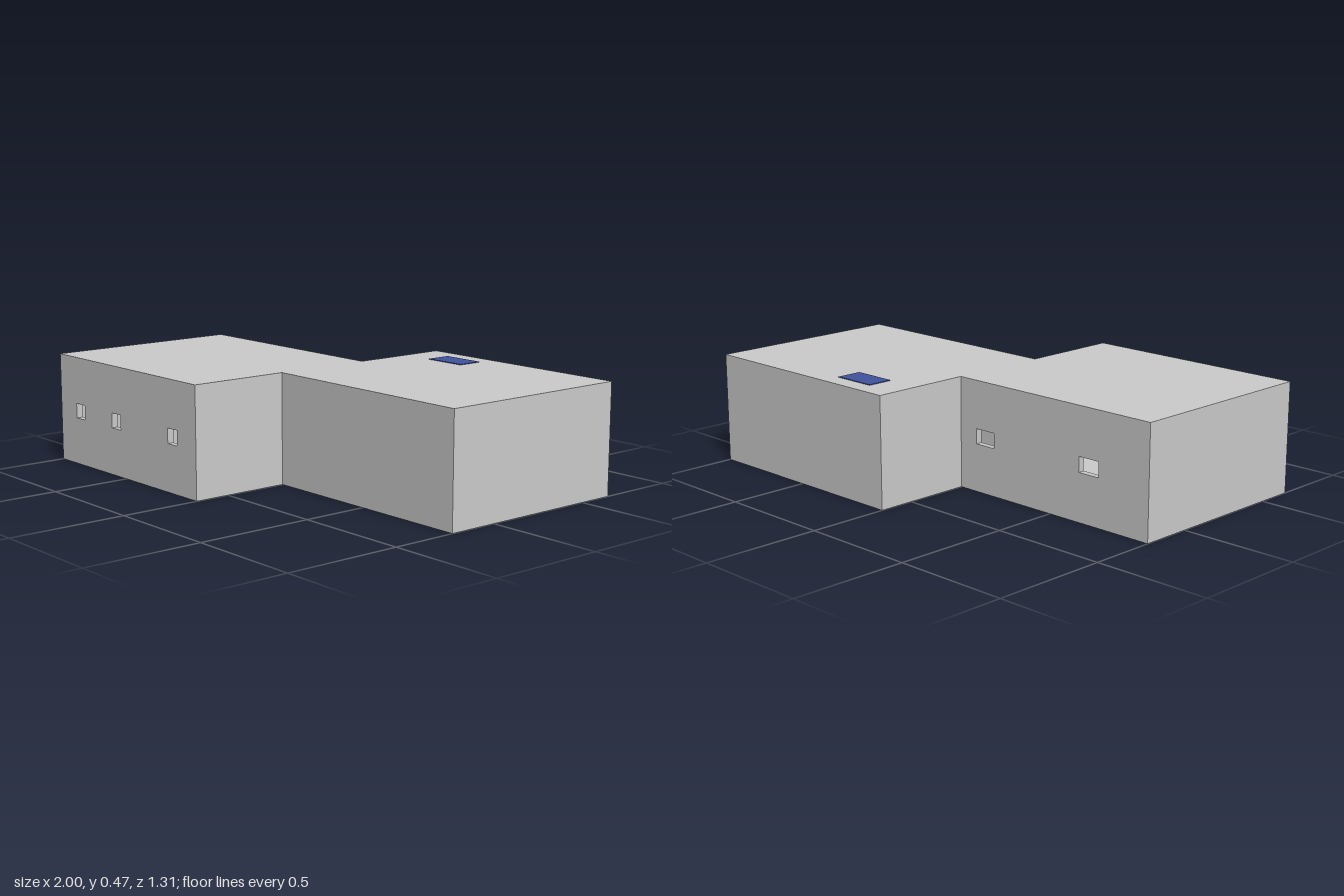
import * as THREE from 'three';

const HEIGHT = 0.47, THICK = 0.028, SILL = 0.203, HEAD = 0.267;

// Z-shaped footprint as [x, z], walked so each wall's outside is on its right
const FOOTPRINT = [
  [-1, 0.655], [0, 0.655], [0, 0.218], [1, 0.218],
  [1, -0.655], [0, -0.655], [0, -0.218], [-1, -0.218],
];

// Window openings per wall index: [start, end] along the wall
const WINDOWS = {
  0: [[0.123, 0.188], [0.4, 0.465], [0.807, 0.872]],
  6: [[0.09, 0.19], [0.65, 0.75]],
};

const grey = new THREE.MeshStandardMaterial({ color: 0xcccccc });
const blue = new THREE.MeshStandardMaterial({ color: 0x40529c });

function rectangle(PathType, x0, y0, x1, y1) {
  return new PathType([[x0, y0], [x1, y0], [x1, y1], [x0, y1]].map(p => new THREE.Vector2(...p)));
}

function slab(name, y) {
  const shape = new THREE.Shape(FOOTPRINT.map(([x, z]) => new THREE.Vector2(x, -z)));
  const geometry = new THREE.ExtrudeGeometry(shape, { depth: THICK, bevelEnabled: false });
  geometry.rotateX(-Math.PI / 2);
  const mesh = new THREE.Mesh(geometry, grey);
  mesh.name = name;
  mesh.position.y = y;
  return mesh;
}

function wall([ax, az], [bx, bz], windows) {
  const length = Math.hypot(bx - ax, bz - az);
  const shape = rectangle(THREE.Shape, 0, THICK, length, HEIGHT - THICK);
  for (const [u0, u1] of windows) shape.holes.push(rectangle(THREE.Path, u0, SILL, u1, HEAD));
  const geometry = new THREE.ExtrudeGeometry(shape, { depth: THICK, bevelEnabled: false });
  geometry.translate(0, 0, -THICK);
  const mesh = new THREE.Mesh(geometry, grey);
  mesh.name = 'wall';
  mesh.position.set(ax, 0, az);
  mesh.rotation.y = Math.atan2(az - bz, bx - ax);
  return mesh;
}

function box(name, material, size, position) {
  const mesh = new THREE.Mesh(new THREE.BoxGeometry(...size), material);
  mesh.name = name;
  mesh.position.set(...position);
  return mesh;
}

export function createModel() {
  const model = new THREE.Group();
  model.name = 'building';

  // Floor and flat roof
  model.add(slab('floor', 0), slab('roof', HEIGHT - THICK));

  // Outer walls with window openings
  const walls = new THREE.Group();
  walls.name = 'walls';
  FOOTPRINT.forEach((corner, i) => {
    walls.add(wall(corner, FOOTPRINT[(i + 1) % FOOTPRINT.length], WINDOWS[i] ?? []));
  });
  model.add(walls);

  // Inner wall between the two rooms of the front wing
  model.add(box('partition', grey, [0.02, HEIGHT - 2 * THICK, 0.36], [-0.57, HEIGHT / 2, 0.4]));

  // Blue panel lying on the roof of the rear wing
  model.add(box('roofPanel', blue, [0.19, 0.006, 0.11], [0.245, HEIGHT, -0.523]));

  return model;
}
